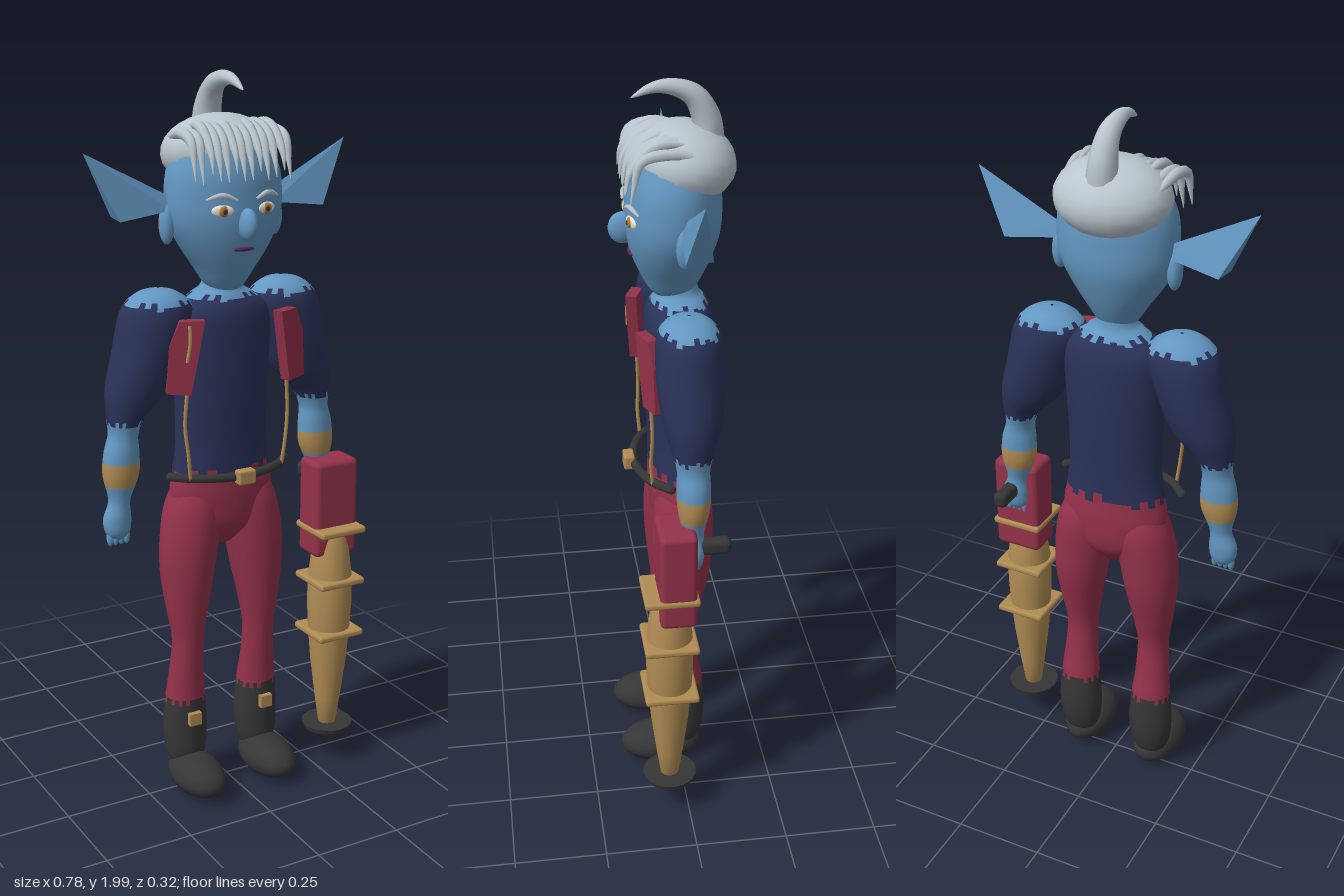
import * as THREE from 'three';
import { RoundedBoxGeometry } from 'three/addons/geometries/RoundedBoxGeometry.js';
import { ConvexGeometry } from 'three/addons/geometries/ConvexGeometry.js';

const V = (x, y, z) => new THREE.Vector3(x, y, z);
const mat = (name, color) => {
  const m = new THREE.MeshStandardMaterial({ color });
  m.name = name;
  return m;
};
const CX = -0.008; // body centre line

export function createModel() {
  const skin = mat('blue skin', 0x6397c2);
  const hair = mat('silver hair', 0xbac6ce);
  const navy = mat('navy shirt', 0x2a3258);
  const red = mat('crimson cloth', 0x94324a);
  const gold = mat('dull gold', 0xb08c54);
  const black = mat('black leather', 0x363636);
  const white = mat('eye white', 0xe8e4d8);
  const iris = mat('amber iris', 0xb8782c);
  const plum = mat('plum lips', 0x5a2350);

  const model = new THREE.Group();
  const add = (name, geo, material, x = 0, y = 0, z = 0, parent = model) => {
    const m = new THREE.Mesh(geo, material);
    m.name = name;
    m.position.set(x, y, z);
    parent.add(m);
    return m;
  };
  const ball = (name, material, p, r) => {
    const m = add(name, new THREE.SphereGeometry(1, 20, 14), material, ...p);
    m.scale.set(...r);
    return m;
  };

  // Smooth stack of ellipses, top to bottom; each section is [x, y, z, rx, rz].
  // pick(y, column) returns an index into the material list.
  function loft(name, sections, materials, pick = () => 0, rings = 56, n = 32) {
    const mid = new THREE.CatmullRomCurve3(sections.map(s => V(s[0], s[1], s[2])), false, 'catmullrom');
    const rad = new THREE.CatmullRomCurve3(sections.map(s => V(s[3], s[4], 0)), false, 'catmullrom');
    const pos = [], lists = materials.map(() => []);
    for (let i = 0; i <= rings; i++) {
      const c = mid.getPoint(i / rings), r = rad.getPoint(i / rings);
      for (let j = 0; j < n; j++) {
        const a = j / n * Math.PI * 2;
        pos.push(c.x + r.x * Math.cos(a), c.y, c.z + r.y * Math.sin(a));
        if (i === rings) continue;
        const p = i * n + j, q = i * n + (j + 1) % n;
        lists[pick(c.y, j)].push(p, q, p + n, q, q + n, p + n);
      }
    }
    const g = new THREE.BufferGeometry();
    g.setAttribute('position', new THREE.Float32BufferAttribute(pos, 3));
    g.setIndex(lists.flat());
    g.computeVertexNormals();
    let start = 0;
    lists.forEach((l, k) => { g.addGroup(start, l.length, k); start += l.length; });
    return add(name, g, materials);
  }
  const jag = j => 0.012 * Math.sin(j * 2.7) + 0.006 * Math.sin(j * 5.3); // ragged cloth edge

  // Tube whose radius follows radius(t)
  function taperTube(name, points, radius, material, seg = 16, sides = 8) {
    const path = new THREE.CatmullRomCurve3(points.map(p => V(...p)));
    const g = new THREE.TubeGeometry(path, seg, 1, sides), p = g.attributes.position;
    const v = V(0, 0, 0);
    for (let i = 0; i < p.count; i++) {
      const t = Math.floor(i / (sides + 1)) / seg, c = path.getPointAt(t);
      v.fromBufferAttribute(p, i).sub(c).multiplyScalar(radius(t)).add(c);
      p.setXYZ(i, v.x, v.y, v.z);
    }
    return add(name, g, material);
  }

  // Torso and pelvis
  loft('torso', [
    [CX, 1.5, -0.01, 0.045, 0.05], [CX, 1.45, -0.015, 0.055, 0.055], [CX, 1.425, -0.018, 0.09, 0.07],
    [CX, 1.38, -0.018, 0.145, 0.088], [CX, 1.28, -0.018, 0.142, 0.093], [CX, 1.15, -0.018, 0.134, 0.09],
    [CX, 1.03, -0.018, 0.133, 0.084], [CX, 0.95, -0.018, 0.143, 0.083], [CX, 0.87, -0.02, 0.152, 0.085],
    [CX, 0.79, -0.02, 0.12, 0.075], [CX, 0.73, -0.02, 0.03, 0.03],
  ], [skin, navy, red], (y, j) => y > 1.425 + jag(j) * 0.6 ? 0 : y > 0.955 + jag(j) ? 1 : 2, 70);

  // Head
  loft('head', [
    [CX, 1.885, -0.01, 0.005, 0.005], [CX, 1.84, -0.008, 0.105, 0.085], [CX, 1.76, -0.004, 0.152, 0.116],
    [CX, 1.68, -0.003, 0.161, 0.123], [CX, 1.62, -0.002, 0.153, 0.121], [CX, 1.56, 0, 0.124, 0.106],
    [CX, 1.5, 0, 0.083, 0.082], [CX, 1.45, 0, 0.048, 0.052], [CX, 1.425, 0, 0.006, 0.006],
  ], [skin]);
  ball('nose', skin, [CX, 1.625, 0.125], [0.023, 0.042, 0.037]);
  ball('mouth', plum, [CX, 1.56, 0.106], [0.03, 0.006, 0.007]);

  for (const s of [-1, 1]) {
    const X = d => CX + s * d;

    // Eyes and brows
    ball('eyeWhite', white, [X(0.064), 1.662, 0.109], [0.029, 0.015, 0.007]).rotation.y = s * 0.3;
    ball('iris', iris, [X(0.062), 1.661, 0.114], [0.014, 0.014, 0.006]);
    ball('pupil', black, [X(0.062), 1.661, 0.119], [0.006, 0.007, 0.003]);
    taperTube('brow', [[X(0.028), 1.688, 0.121], [X(0.065), 1.702, 0.114], [X(0.104), 1.69, 0.095]],
      t => 0.003 + 0.004 * Math.sin(Math.PI * t), hair, 10, 6);

    // Pointed ears
    ball('earLobe', skin, [X(0.16), 1.62, -0.013], [0.02, 0.053, 0.024]);
    add('earBlade', new ConvexGeometry([
      V(X(0.383), 1.81, -0.025), V(X(0.3), 1.638, 0.008), V(X(0.295), 1.642, -0.06),
      V(X(0.15), 1.69, -0.018), V(X(0.15), 1.655, -0.002), V(X(0.15), 1.655, -0.028),
    ]), skin);

    // Arm: bare shoulder cap, sleeve, forearm, wrist band, hand
    loft('arm', [
      [X(0.185), 1.457, -0.018, 0.004, 0.004], [X(0.188), 1.444, -0.018, 0.055, 0.05],
      [X(0.19), 1.40, -0.018, 0.098, 0.082], [X(0.217), 1.30, -0.018, 0.095, 0.087],
      [X(0.25), 1.20, -0.018, 0.086, 0.076], [X(0.284), 1.13, -0.016, 0.053, 0.055],
      [X(0.294), 1.08, -0.015, 0.04, 0.043], [X(0.3), 1.03, -0.015, 0.048, 0.044],
      [X(0.303), 0.97, -0.015, 0.05, 0.042], [X(0.31), 0.90, -0.013, 0.03, 0.028],
      [X(0.318), 0.85, -0.012, 0.039, 0.03], [X(0.318), 0.81, -0.01, 0.033, 0.025],
      [X(0.318), 0.785, -0.01, 0.004, 0.004],
    ], [skin, navy, gold], (y, j) => y > 1.423 + jag(j) * 0.6 ? 0 : y > 1.115 + jag(j) * 0.6 ? 1
      : y < 1.012 && y > 0.94 ? 2 : 0, 84);
    for (let i = 0; i < 4; i++)
      ball('finger', skin, [X(0.318 + (i - 1.5) * 0.016), 0.8, -0.008], [0.009, 0.025, 0.011]);

    // Leg with tall boot
    loft('leg', [
      [X(0.075), 0.93, -0.02, 0.05, 0.05], [X(0.086), 0.85, -0.02, 0.078, 0.078],
      [X(0.1), 0.75, -0.016, 0.082, 0.082], [X(0.109), 0.65, -0.014, 0.074, 0.076],
      [X(0.113), 0.55, -0.008, 0.058, 0.06], [X(0.113), 0.46, -0.004, 0.045, 0.046],
      [X(0.115), 0.36, -0.012, 0.049, 0.046], [X(0.115), 0.28, -0.02, 0.057, 0.052],
      [X(0.115), 0.18, -0.022, 0.064, 0.055], [X(0.115), 0.1, -0.018, 0.054, 0.048],
      [X(0.115), 0.04, -0.015, 0.02, 0.02],
    ], [red, black], (y, j) => y > 0.285 + jag(j) * 0.4 ? 0 : 1);
    ball('shoe', black, [X(0.115), 0.062, 0.048], [0.07, 0.056, 0.116]);
    add('bootBuckle', new THREE.BoxGeometry(0.036, 0.036, 0.024), gold, X(0.115), 0.228, 0.035);

    // Vest panel and hanging cord
    const outline = [[-0.047, 0.095], [0.018, 0.095], [0.046, 0.03], [0.054, -0.095], [-0.01, -0.1], [-0.026, -0.02]];
    const shape = new THREE.Shape(outline.map(p => new THREE.Vector2(s * p[0], p[1])));
    const panel = new THREE.ExtrudeGeometry(shape, { depth: 0.03, bevelEnabled: false });
    add('vestPanel', panel, red, X(0.147), 1.29, 0.063).rotation.y = s * 0.38;
    taperTube('cord', [[X(0.15), 1.2, 0.075], [X(0.156), 1.1, 0.072], [X(0.148), 1.02, 0.075], [X(0.14), 0.95, 0.07]],
      () => 0.005, gold, 16, 6);
  }
  taperTube('shoulderStrap', [[-0.16, 1.375, 0.095], [-0.162, 1.33, 0.1], [-0.17, 1.28, 0.098]], () => 0.005, gold, 8, 6);

  // Belt arc across the front with buckle
  taperTube('belt', [[CX - 0.177, 0.952, 0.025], [CX - 0.12, 0.952, 0.075], [CX, 0.95, 0.105],
    [CX + 0.12, 0.952, 0.075], [CX + 0.177, 0.952, 0.025]], () => 0.012, black, 30, 10);
  for (const s of [-1, 1]) ball('beltEnd', black, [CX + s * 0.177, 0.952, 0.025], [0.012, 0.012, 0.012]);
  add('beltBuckle', new RoundedBoxGeometry(0.052, 0.04, 0.03, 2, 0.006), gold, CX, 0.952, 0.118);

  // Hair: cap, fringe strands and curled crest
  ball('hairCap', hair, [CX, 1.795, -0.032], [0.154, 0.097, 0.13]).rotation.x = -0.15;
  const strands = 13;
  for (let i = 0; i < strands; i++) {
    const x = -0.15 + i * 0.0225, w = Math.sin(i * 4.1) * 0.014;
    const edge = Math.abs(x + 0.008) > 0.11 ? 0.025 : 0;
    taperTube('fringeStrand', [
      [x * 0.92, 1.865 - edge * 1.4, -0.04 - edge + w], [x * 0.98, 1.866 - edge * 0.6, 0.035 + w],
      [x, 1.835, 0.09], [x * 1.01, 1.785 + w, 0.116 - edge * 0.3], [x * 1.02, 1.742 + w, 0.125 - edge * 0.3],
    ], t => 0.001 + 0.0135 * Math.sin(Math.PI * Math.pow(t, 0.8)), hair);
  }
  taperTube('hairCrest', [[CX, 1.84, -0.09], [CX, 1.9, -0.085], [CX, 1.955, -0.055], [CX, 1.978, -0.005],
    [CX, 1.978, 0.045], [CX, 1.955, 0.1]], t => 0.001 + 0.042 * Math.pow(1 - t, 0.75), hair, 24, 12);

  // Arm cannon
  const cannon = new THREE.Group();
  cannon.name = 'armCannon';
  cannon.position.set(0.312, 0, 0.05);
  model.add(cannon);
  add('cannonHousing', new RoundedBoxGeometry(0.137, 0.28, 0.098, 3, 0.015), red, 0, 0.792, -0.017, cannon);
  const profile = [[0.001, 0.11], [0.025, 0.115], [0.037, 0.2], [0.052, 0.32], [0.06, 0.42], [0.064, 0.5],
    [0.063, 0.58], [0.052, 0.67], [0.035, 0.73], [0.024, 0.752], [0.001, 0.755]];
  add('cannonBarrel', new THREE.LatheGeometry(profile.map(p => new THREE.Vector2(...p)), 24), gold, 0, 0, 0, cannon);
  for (const y of [0.73, 0.575, 0.415])
    add('cannonBand', new RoundedBoxGeometry(0.146, 0.02, 0.146, 2, 0.008), gold, 0, y, 0, cannon);
  add('cannonMuzzle', new THREE.CylinderGeometry(0.074, 0.07, 0.014, 20), black, 0, 0.112, 0, cannon);
  add('muzzleTip', new THREE.ConeGeometry(0.02, 0.015, 12).rotateX(Math.PI), black, 0, 0.1, 0, cannon);
  add('cannonGrip', new RoundedBoxGeometry(0.04, 0.045, 0.1, 3, 0.016), black, 0, 0.862, -0.112, cannon);

  return model;
}
